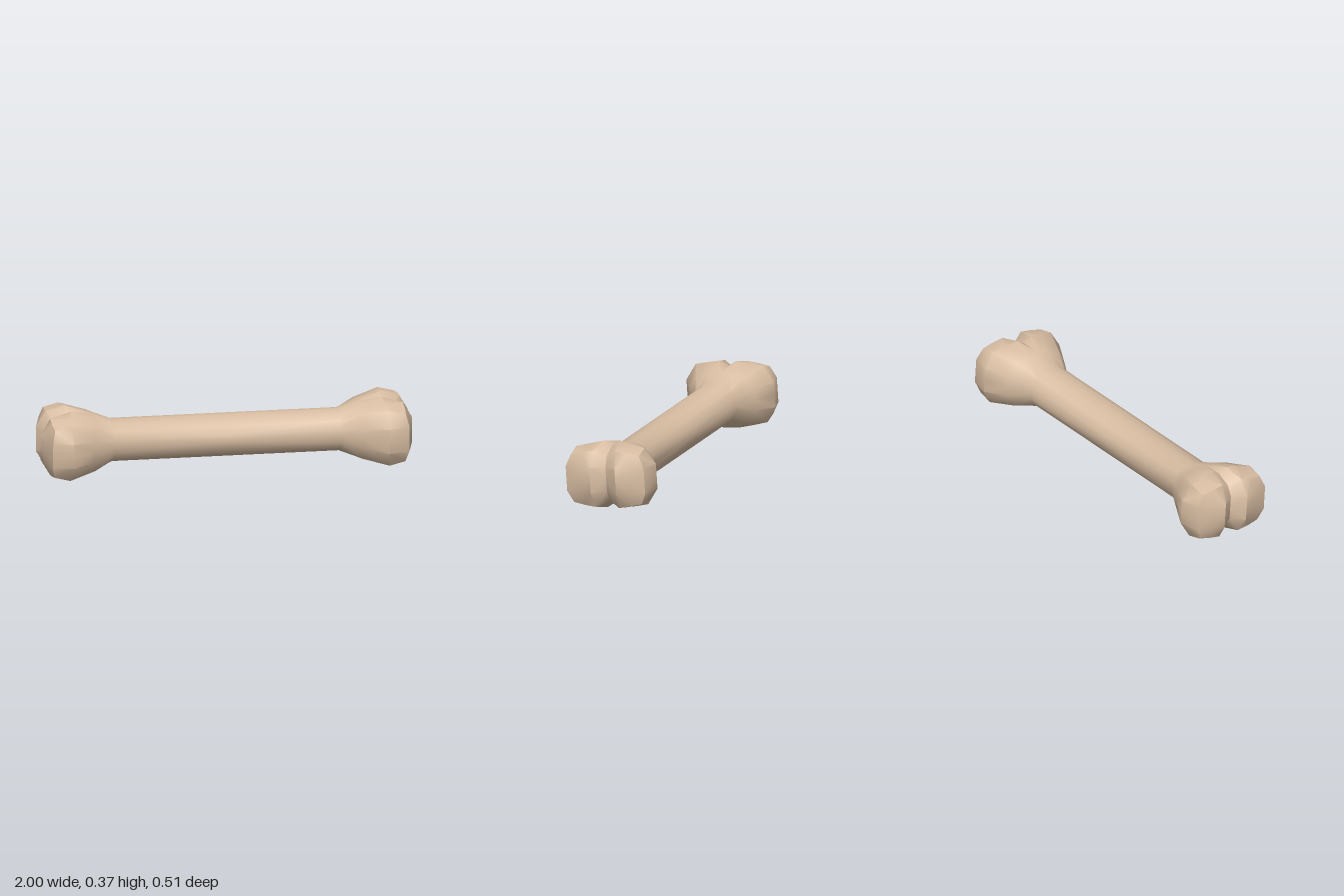
import * as THREE from 'three';
import { toCreasedNormals } from 'three/addons/utils/BufferGeometryUtils.js';

// Appends the triangles of a grid of points (rows of equal length) to a list.
function addGrid(tris, rows) {
  for (let r = 0; r < rows.length - 1; r++) {
    for (let c = 0; c < rows[r].length - 1; c++) {
      const a = rows[r][c], b = rows[r][c + 1], d = rows[r + 1][c], e = rows[r + 1][c + 1];
      if (a !== b) tris.push([a, b, d]);
      tris.push([b, e, d]);
    }
  }
}

// One eighth of the bone: x, y and z all positive.
function boneOctant() {
  const tris = [];

  // Half of the shaft, flaring into the knuckle; each ring runs from top to side.
  const ring = (x) => [[x, 0.11, 0], [x, 0.104, 0.05], [x, 0.079, 0.095], [x, 0.036, 0.122], [x, 0, 0.124]];
  const apex = [0.72, 0.152, 0];
  const neck = [apex, [0.72, 0.147, 0.06], [0.715, 0.125, 0.135], [0.725, 0.056, 0.183], [0.725, 0, 0.185]];
  addGrid(tris, [ring(0), ring(0.61), neck]);

  // Rounded lobe: widest ring, then the ring around the end panel.
  const wide = [[0.84, 0.182, 0.045], [0.85, 0.169, 0.12], [0.86, 0.153, 0.195], [0.85, 0.068, 0.25], [0.85, 0, 0.25]];
  const rim = [[0.95, 0.155, 0.062], [0.95, 0.145, 0.128], [0.945, 0.132, 0.193], [0.96, 0.068, 0.223], [0.96, 0, 0.223]];
  addGrid(tris, [neck, wide, rim]);

  // End panel of the lobe.
  const tip = [[1, 0.07, 0.072], [0.98, 0.07, 0.148], rim[3]];
  const middle = [[1, 0, 0.072], [0.98, 0, 0.148], rim[4]];
  addGrid(tris, [rim.slice(0, 3), tip, middle]);

  // Groove wall between the two lobes.
  addGrid(tris, [
    [apex, apex],
    [[0.84, 0.155, 0], wide[0]],
    [[0.92, 0.12, 0], rim[0]],
    [[0.95, 0.065, 0], tip[0]],
    [[0.95, 0, 0], middle[0]],
  ]);
  return tris;
}

export function createModel() {
  const ivory = new THREE.MeshStandardMaterial({ color: 0xd9bea3 });
  ivory.name = 'ivory';

  // Mirror the octant in all three directions.
  const octant = boneOctant();
  const positions = [];
  for (const sx of [1, -1]) for (const sy of [1, -1]) for (const sz of [1, -1]) {
    for (const [a, b, c] of octant) {
      const corners = sx * sy * sz > 0 ? [a, b, c] : [a, c, b];
      for (const [x, y, z] of corners) positions.push(x * sx, y * sy, z * sz);
    }
  }
  const geometry = new THREE.BufferGeometry();
  geometry.setAttribute('position', new THREE.Float32BufferAttribute(positions, 3));

  const bone = new THREE.Mesh(toCreasedNormals(geometry, 0.76), ivory);
  bone.name = 'bone';
  bone.rotation.x = THREE.MathUtils.degToRad(4); // slight roll
  bone.position.y = 0.185;

  const group = new THREE.Group();
  group.name = 'boneModel';
  group.add(bone);
  return group;
}
